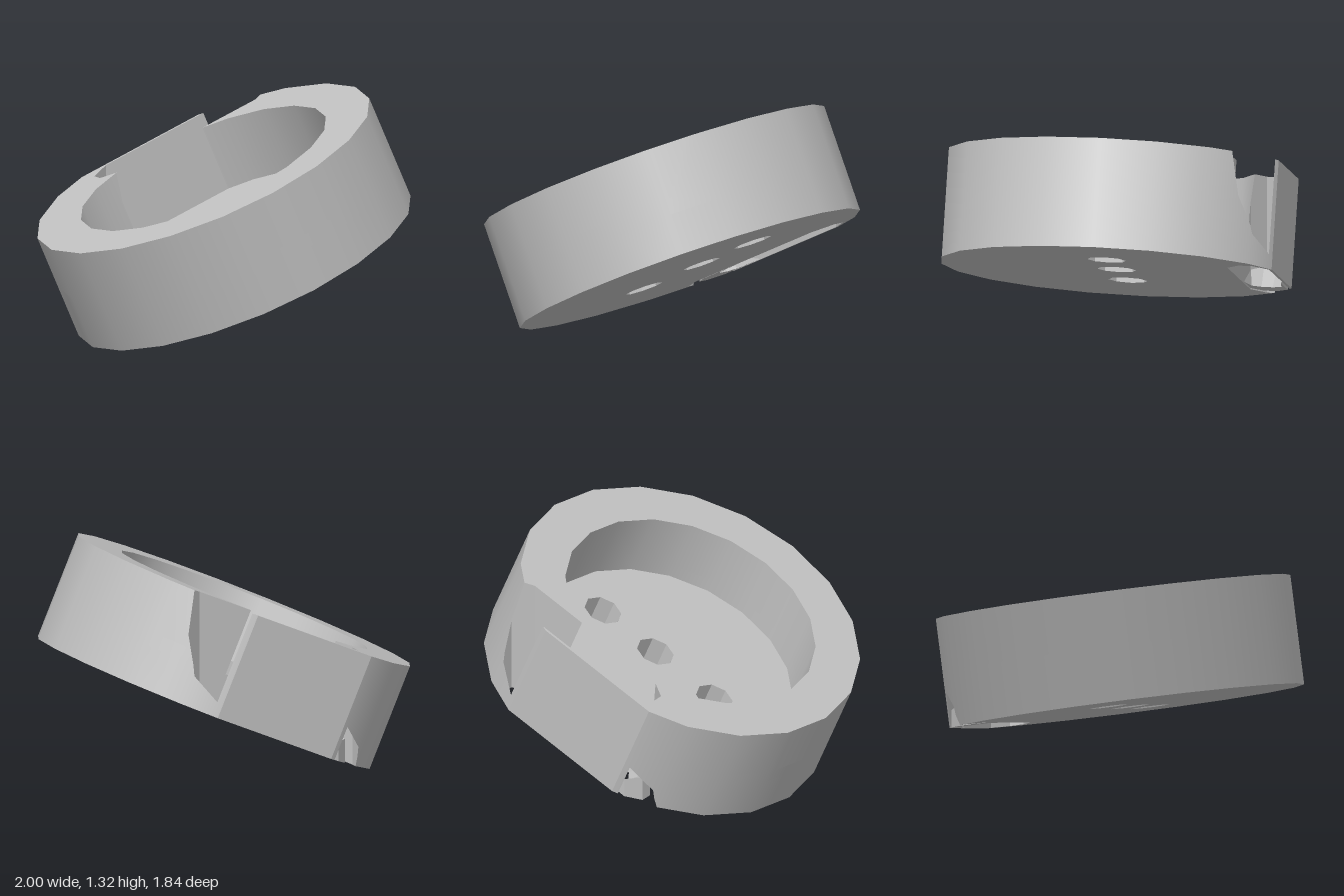
import * as THREE from 'three';

const V = (x, y, z) => new THREE.Vector3(x, y, z);
const EPS = 1e-6;

// Placement of the tilted disc
const tilt = new THREE.Matrix4().makeRotationZ(0.417).setPosition(0, 0.66, -0.04);
const untilt = tilt.clone().invert();
const R = 0.9625, H = 0.295;

const plane = (n, p) => new THREE.Plane().setFromNormalAndCoplanarPoint(n.normalize(), p);

// Regular polygon as [x, z] points
const ring = (sides, r, cx = 0) => Array.from({ length: sides }, (_, i) => {
  const a = (i / sides) * Math.PI * 2;
  return [cx + r * Math.cos(a), r * Math.sin(a)];
});

// Convex prism described by its outward planes
function prism(points, y0, y1, matrix, round = false) {
  const cx = points.reduce((s, p) => s + p[0], 0) / points.length;
  const cz = points.reduce((s, p) => s + p[1], 0) / points.length;
  const planes = [plane(V(0, 1, 0), V(0, y1, 0)), plane(V(0, -1, 0), V(0, y0, 0))];
  points.forEach((p, i) => {
    const q = points[(i + 1) % points.length];
    const n = V(q[1] - p[1], 0, p[0] - q[0]);
    if (n.x * (p[0] - cx) + n.z * (p[1] - cz) < 0) n.negate();
    const side = plane(n, V(p[0], 0, p[1]));
    side.round = round;
    planes.push(side);
  });
  if (matrix) planes.forEach((pl) => pl.applyMatrix4(matrix));
  return planes;
}

// Cut a convex polygon by a plane: [behind, in front]
function split(poly, pl) {
  const parts = [[], []], found = [false, false];
  poly.forEach((a, i) => {
    const b = poly[(i + 1) % poly.length];
    const da = pl.distanceToPoint(a), db = pl.distanceToPoint(b);
    if (da < EPS) parts[0].push(a);
    if (da > -EPS) parts[1].push(a);
    if (da < -EPS) found[0] = true;
    if (da > EPS) found[1] = true;
    if ((da < -EPS && db > EPS) || (da > EPS && db < -EPS)) {
      const m = a.clone().lerp(b, da / (da - db));
      parts[0].push(m);
      parts[1].push(m);
    }
  });
  return parts.map((p, i) => (found[i] && p.length > 2 ? p : null));
}

function inside(poly, planes) {
  for (const pl of planes) {
    if (!poly) return null;
    poly = split(poly, pl)[0];
  }
  return poly;
}

function outside(poly, planes) {
  const kept = [];
  for (const pl of planes) {
    const [back, front] = split(poly, pl);
    if (front) kept.push(front);
    if (!back) return kept;
    poly = back;
  }
  return kept;
}

// Faces of a convex solid, kept within one solid and outside others
function surface(name, solid, within, cutters, flip, material) {
  const pos = [], nor = [];
  for (const pl of solid) {
    const up = Math.abs(pl.normal.y) > 0.9 ? V(1, 0, 0) : V(0, 1, 0);
    const s = up.cross(pl.normal).normalize().multiplyScalar(5);
    const t = pl.normal.clone().cross(s);
    const o = pl.coplanarPoint(V());
    const quad = [[-1, -1], [1, -1], [1, 1], [-1, 1]].map(([a, b]) =>
      o.clone().addScaledVector(s, a).addScaledVector(t, b));
    let face = inside(quad, solid.filter((other) => other !== pl));
    if (face && within) face = inside(face, within);
    let pieces = face ? [face] : [];
    for (const c of cutters) pieces = pieces.flatMap((p) => outside(p, c));
    for (const piece of pieces) {
      const p = flip ? piece.slice().reverse() : piece;
      for (let i = 1; i < p.length - 1; i++) {
        for (const v of [p[0], p[i], p[i + 1]]) {
          const n = pl.normal.clone();
          if (pl.round) {
            // smooth normal pointing away from the disc axis
            n.copy(v).applyMatrix4(untilt).setY(0).transformDirection(tilt);
          }
          if (flip) n.negate();
          pos.push(v.x, v.y, v.z);
          nor.push(n.x, n.y, n.z);
        }
      }
    }
  }
  const g = new THREE.BufferGeometry();
  g.setAttribute('position', new THREE.Float32BufferAttribute(pos, 3));
  g.setAttribute('normal', new THREE.Float32BufferAttribute(nor, 3));
  const mesh = new THREE.Mesh(g, material);
  mesh.name = name;
  return mesh;
}

export function createModel() {
  const group = new THREE.Group();
  group.name = 'tiltedDiscHolder';
  const grey = new THREE.MeshStandardMaterial({ color: 0xbfbfbf });
  grey.name = 'plainGrey';

  // Disc with a flat at the back
  const disc = prism(ring(20, R), -H, H, tilt, true);
  disc.push(plane(V(0, 0, -1), V(0, 0, -0.92)));

  // Round recess, three drain holes and the upright slot
  const bowl = prism(ring(20, 0.71), -0.074, 1, tilt, true);
  const holes = [-0.333, 0.085, 0.457].map((u) => prism(ring(8, 0.105, u), -1, 0, tilt));
  const slot = prism([
    [-0.42, -0.83], [-0.32, -0.905], [0.45, -0.905], [0.55, -0.83],
    [0.55, -0.755], [0.45, -0.68], [-0.32, -0.68], [-0.42, -0.755],
  ], -2, 3);

  group.add(surface('discBody', disc, null, [bowl, slot, ...holes], false, grey));
  group.add(surface('bowlRecess', bowl, disc, [slot, ...holes], true, grey));
  group.add(surface('slotWalls', slot, disc, [bowl], true, grey));
  holes.forEach((h, i) =>
    group.add(surface('drainHole' + (i + 1), h, disc, [bowl], true, grey)));

  // Small loose cradle at the low end of the slot, hollowed by sloping sides
  const top = 0.318;
  const cradle = prism([
    [-0.345, -0.82], [-0.275, -0.89], [0.1, -0.89],
    [0.1, -0.69], [-0.275, -0.69], [-0.345, -0.75],
  ], -1, top);
  cradle.push(disc[1]);
  const slope = (a, b, c) => {
    const n = b.clone().sub(a).cross(c.clone().sub(a));
    if (n.y > 0) n.negate();
    return plane(n, a);
  };
  const hollow = [
    slope(V(-0.345, top, -0.82), V(-0.345, top, -0.75), V(-0.21, 0.244, -0.785)),
    slope(V(-0.345, top, -0.82), V(-0.275, top, -0.89), V(-0.195, 0.25, -0.845)),
    slope(V(-0.345, top, -0.75), V(-0.275, top, -0.69), V(-0.195, 0.25, -0.735)),
    slope(V(-0.275, top, -0.89), V(0.1, top, -0.89), V(-0.18, 0.257, -0.87)),
    slope(V(-0.275, top, -0.69), V(0.1, top, -0.69), V(-0.18, 0.257, -0.71)),
  ];
  group.add(surface('cradleShell', cradle, null, [hollow], false, grey));
  group.add(surface('cradleHollow', hollow, cradle, [], true, grey));

  return group;
}
